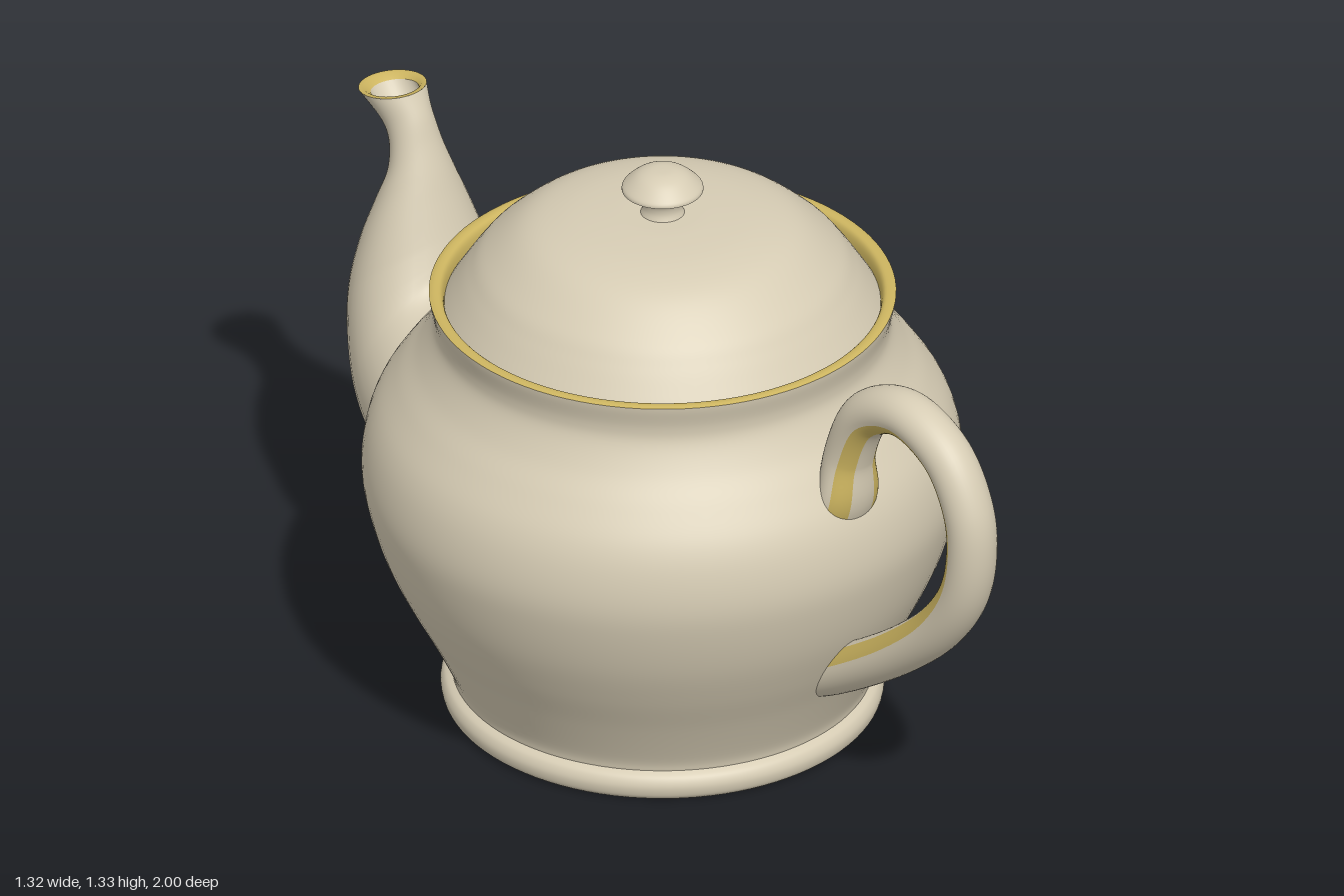
import * as THREE from 'three';

const glaze = new THREE.MeshStandardMaterial({ color: 0xd6ccb4 });
glaze.name = 'cream glaze';
const gold = new THREE.MeshStandardMaterial({ color: 0xcdb560 });
gold.name = 'gold trim';

const AXIS_Z = -0.05; // pot axis

function add(group, name, geometry, material) {
  const mesh = new THREE.Mesh(geometry, material);
  mesh.name = name;
  group.add(mesh);
  return mesh;
}

// Smooth turned surface through [radius, height] points
function turned(points, samples) {
  const curve = new THREE.SplineCurve(points.map(([r, y]) => new THREE.Vector2(r, y)));
  const profile = curve.getPoints(samples);
  profile.forEach((p) => { p.x = Math.max(p.x, 0); });
  return new THREE.LatheGeometry(profile, 96);
}

// Skin over elliptical sections {c, n, w}: centre, half-height vector, half-width along x
function loft(sections, a0 = 0, a1 = Math.PI * 2, seg = 32) {
  const closed = a1 - a0 > 6.28;
  const cols = closed ? seg : seg + 1;
  const pos = [];
  const index = [];
  sections.forEach(({ c, n, w }, i) => {
    for (let j = 0; j < cols; j++) {
      const a = a0 + ((a1 - a0) * j) / seg;
      pos.push(c.x + Math.sin(a) * w, c.y + n.y * Math.cos(a), c.z + n.z * Math.cos(a));
    }
    if (i === 0) return;
    for (let j = 0; j < seg; j++) {
      const k = (j + 1) % cols;
      const p = (i - 1) * cols;
      const q = i * cols;
      index.push(p + j, p + k, q + k, p + j, q + k, q + j);
    }
  });
  const g = new THREE.BufferGeometry();
  g.setAttribute('position', new THREE.Float32BufferAttribute(pos, 3));
  g.setIndex(index);
  g.computeVertexNormals();
  return g;
}

function buildPot() {
  const pot = new THREE.Group();
  pot.name = 'pot';
  pot.position.z = AXIS_Z;
  add(pot, 'base', new THREE.CircleGeometry(0.472, 96).rotateX(Math.PI / 2), glaze);
  add(pot, 'footRing', turned([[0.472, 0], [0.484, 0.012], [0.488, 0.035], [0.48, 0.055], [0.464, 0.066]], 24), glaze);
  add(pot, 'body', turned([
    [0.464, 0.066], [0.474, 0.1], [0.522, 0.2], [0.575, 0.3], [0.62, 0.4], [0.65, 0.5], [0.662, 0.58],
    [0.654, 0.66], [0.63, 0.73], [0.585, 0.8], [0.54, 0.86], [0.508, 0.92], [0.503, 0.96], [0.512, 1.005], [0.514, 1.018],
  ], 80), glaze);
  add(pot, 'rim', turned([[0.514, 1.018], [0.502, 1.021], [0.487, 1.016], [0.48, 0.99], [0.478, 0.93]], 16), gold);
  return pot;
}

function buildLid() {
  const lid = new THREE.Group();
  lid.name = 'lid';
  lid.position.z = AXIS_Z;
  add(lid, 'lidDome', turned([
    [0.482, 0.985], [0.46, 1.02], [0.428, 1.068], [0.39, 1.115], [0.31, 1.18],
    [0.224, 1.208], [0.117, 1.219], [0.04, 1.22], [0, 1.22],
  ], 48), glaze);
  add(lid, 'knobNeck', turned([[0.05, 1.216], [0.044, 1.235], [0.048, 1.255], [0.065, 1.27], [0.09, 1.279]], 20), glaze);
  add(lid, 'knobTop', turned([[0.09, 1.279], [0.086, 1.29], [0.058, 1.315], [0.03, 1.326], [0, 1.328]], 24), glaze);
  return lid;
}

function buildHandle() {
  const handle = new THREE.Group();
  handle.name = 'handle';
  // Path points as [half-width, y, z]
  const curve = new THREE.CatmullRomCurve3([
    [0.078, 0.68, 0.51], [0.08, 0.757, 0.544], [0.06, 0.865, 0.553], [0.058, 0.99, 0.614], [0.058, 1.042, 0.737],
    [0.058, 0.992, 0.866], [0.058, 0.88, 0.935], [0.058, 0.775, 0.946], [0.058, 0.665, 0.922], [0.058, 0.553, 0.85],
    [0.058, 0.43, 0.715], [0.058, 0.29, 0.507], [0.058, 0.25, 0.43],
  ].map((p) => new THREE.Vector3(...p)));
  const sections = [];
  for (let i = 0; i <= 96; i++) {
    const p = curve.getPoint(i / 96);
    const t = curve.getTangent(i / 96).setX(0).normalize();
    sections.push({
      c: new THREE.Vector3(0, p.y, p.z),
      n: new THREE.Vector3(0, -t.z, t.y).multiplyScalar(0.054),
      w: p.x,
    });
  }
  // Grey outside and inner face, divided by two gold bands
  const inner = 0.45;
  const outer = 1.2;
  add(handle, 'handleOuter', loft(sections, outer, Math.PI * 2 - outer, 24), glaze);
  add(handle, 'handleInner', loft(sections, -inner, inner, 8), glaze);
  add(handle, 'handleBandLeft', loft(sections, inner, outer, 8), gold);
  add(handle, 'handleBandRight', loft(sections, -outer, -inner, 8), gold);
  return handle;
}

function buildSpout() {
  const spout = new THREE.Group();
  spout.name = 'spout';
  // Opposite edges of each section: under side z, y and upper side z, y
  const edges = [
    [-0.54, 0.25, -0.58, 0.755], [-0.6, 0.24, -0.64, 0.772], [-0.77, 0.297, -0.68, 0.785], [-0.877, 0.392, -0.695, 0.8],
    [-0.946, 0.525, -0.706, 0.828], [-0.973, 0.66, -0.722, 0.87], [-0.957, 0.793, -0.748, 0.944],
    [-0.925, 0.9, -0.77, 1.008], [-0.897, 0.985, -0.795, 1.072], [-0.91, 1.07, -0.817, 1.13], [-0.995, 1.16, -0.845, 1.18],
  ];
  const spline = (k) => new THREE.CatmullRomCurve3(edges.map((e) => new THREE.Vector3(0, e[k + 1], e[k])));
  const under = spline(0);
  const upper = spline(2);
  const sections = [];
  for (let i = 0; i <= 80; i++) {
    const a = under.getPoint(i / 80);
    const b = upper.getPoint(i / 80);
    const n = b.clone().sub(a).multiplyScalar(0.5);
    sections.push({ c: a.add(b).multiplyScalar(0.5), n, w: n.length() });
  }
  add(spout, 'spoutWall', loft(sections, 0, Math.PI * 2, 40), glaze);

  // Gold lip and the bore below it
  const shrink = (s, f) => ({ c: s.c, n: s.n.clone().multiplyScalar(f), w: s.w * f });
  const lip = [shrink(sections[80], 1), shrink(sections[80], 0.85), shrink(sections[79], 0.74)];
  add(spout, 'spoutLip', loft(lip), gold);
  const bore = [lip[2]];
  for (let i = 77; i >= 52; i -= 2) bore.push(shrink(sections[i], 0.8));
  bore.push(shrink(sections[51], 0.001));
  add(spout, 'spoutBore', loft(bore), glaze);
  return spout;
}

export function createModel() {
  const model = new THREE.Group();
  model.name = 'teapot';
  model.add(buildPot(), buildLid(), buildHandle(), buildSpout());
  return model;
}
